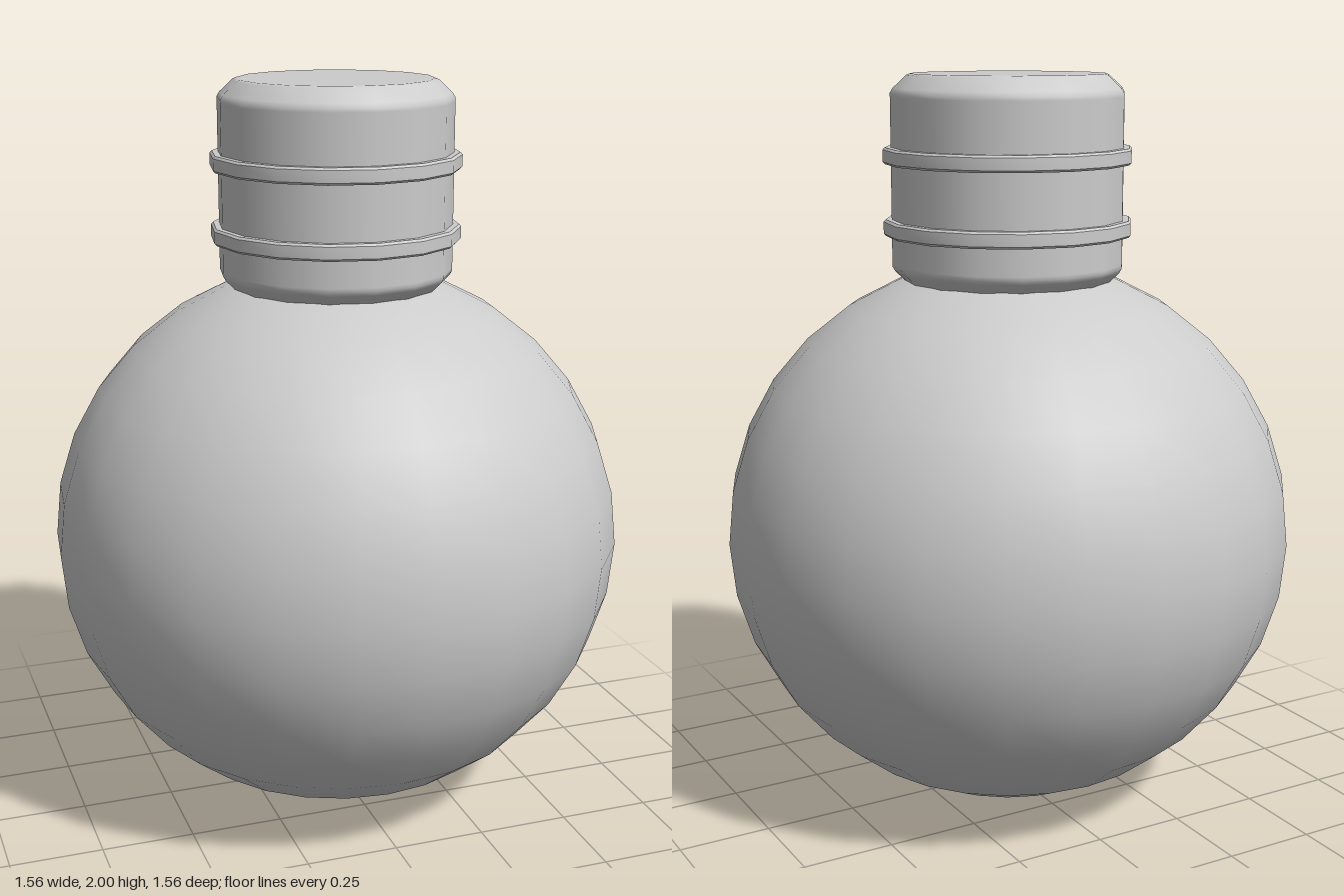
import * as THREE from 'three';
import { toCreasedNormals } from 'three/addons/utils/BufferGeometryUtils.js';

export function createModel() {
  const model = new THREE.Group();
  model.name = 'roundFlask';
  const grey = new THREE.MeshStandardMaterial({ color: 0xcccccc });
  grey.name = 'light grey';

  const add = (name, geometry, y = 0) => {
    const mesh = new THREE.Mesh(geometry, grey);
    mesh.name = name;
    mesh.position.y = y;
    model.add(mesh);
  };
  const lathe = (profile) =>
    new THREE.LatheGeometry(profile.map(([r, y]) => new THREE.Vector2(r, y)), 16);

  // Slightly flattened round body
  const bodyHeight = 0.753;
  const body = new THREE.SphereGeometry(0.782, 24, 16);
  body.scale(1, bodyHeight / 0.782, 1);
  add('body', body, bodyHeight);

  // Neck with soft bevels at both ends; its base sinks into the body
  add('neck', lathe([
    [0, 1.43], [0.255, 1.43], [0.265, 1.435], [0.308, 1.478], [0.315, 1.49],
    [0.315, 1.5], [0.315, 1.94], [0.315, 1.95], [0.308, 1.962],
    [0.272, 1.996], [0.262, 2], [0.25, 2], [0, 2],
  ]));

  // Two thin bands around the neck
  [1.595, 1.786].forEach((y, i) => {
    const band = lathe([
      [0.3, -0.022], [0.331, -0.022], [0.337, -0.016],
      [0.337, 0.016], [0.331, 0.022], [0.3, 0.022],
    ]);
    add(i ? 'upperBand' : 'lowerBand', toCreasedNormals(band, 0.6), y);
  });

  return model;
}
